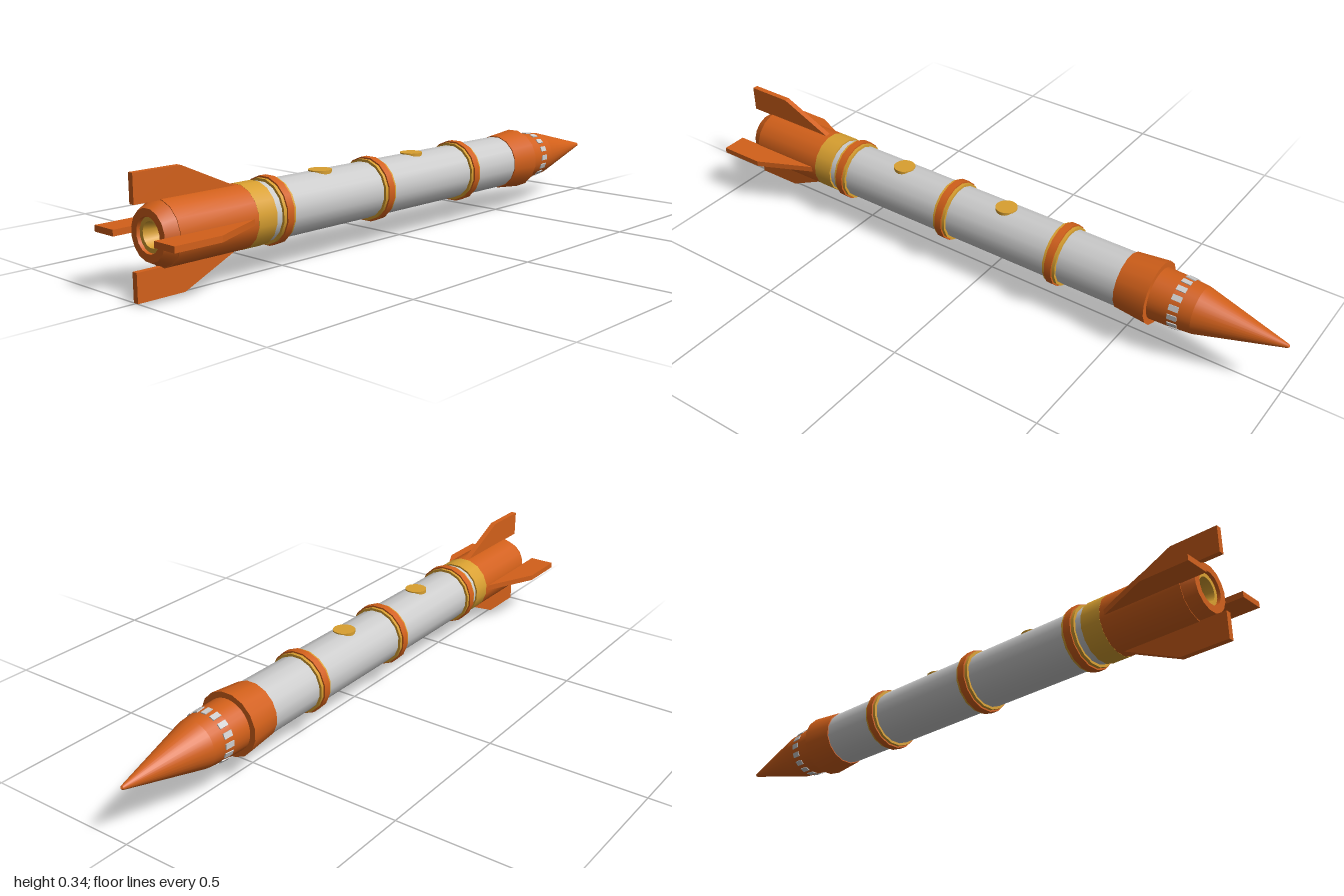
import * as THREE from 'three';
import { mergeGeometries } from 'three/addons/utils/BufferGeometryUtils.js';

const AXIS_Y = 0.17;
const ORANGE = 0xd2601a, GOLD = 0xd9a030, GREY = 0xcccccc;

const material = (color) => new THREE.MeshStandardMaterial({ color, side: THREE.DoubleSide });
const mats = { orange: material(ORANGE), gold: material(GOLD), grey: material(GREY) };

function add(parent, name, geometry, mat) {
  const mesh = new THREE.Mesh(geometry, mat);
  mesh.name = name;
  parent.add(mesh);
  return mesh;
}

// Turned solid along x from [x, radius] pairs; every step keeps a crisp edge
function turned(profile, sides = 16) {
  const steps = [];
  for (let i = 0; i < profile.length - 1; i++) {
    const pair = [profile[i], profile[i + 1]].map(([x, r]) => new THREE.Vector2(r, x));
    steps.push(new THREE.LatheGeometry(pair, sides, Math.PI / sides));
  }
  return mergeGeometries(steps).rotateZ(-Math.PI / 2);
}

export function createModel() {
  const rocket = new THREE.Group();
  rocket.name = 'rocket';
  const hull = new THREE.Group();
  hull.name = 'hull';
  hull.position.y = AXIS_Y;
  rocket.add(hull);

  // Main tube
  add(hull, 'bodyTube', turned([[-0.62, 0], [-0.62, 0.087], [0.5, 0.087], [0.5, 0]]), mats.grey);

  // Tail section and its coloured band
  add(hull, 'tailSection', turned([[-0.92, 0.05], [-0.92, 0.092], [-0.66, 0.092], [-0.66, 0]]), mats.orange);
  add(hull, 'tailBand', turned([[-0.66, 0], [-0.66, 0.0925], [-0.595, 0.0925], [-0.595, 0]]), mats.gold);

  // Nozzle: chamfered outer ring, recessed gold liner
  add(hull, 'nozzle', turned([[-0.9, 0.046], [-0.955, 0.05], [-0.955, 0.072], [-0.92, 0.09]]), mats.orange);
  add(hull, 'nozzleLiner', turned([[-0.9, 0], [-0.9, 0.03], [-0.945, 0.036], [-0.945, 0.049]]), mats.gold);

  // Three joint rings: wide gold base with a narrower orange band
  for (const x of [-0.55, -0.14, 0.27]) {
    const ring = new THREE.Group();
    ring.name = 'jointRing';
    ring.position.x = x;
    hull.add(ring);
    add(ring, 'ringBase', turned([[-0.022, 0.08], [-0.022, 0.095], [0.022, 0.095], [0.022, 0.08]]), mats.gold);
    add(ring, 'ringBand', turned([[-0.012, 0.09], [-0.012, 0.1], [0.012, 0.1], [0.012, 0.09]]), mats.orange);
  }

  // Flared collar and nose
  add(hull, 'collar', turned([[0.49, 0.08], [0.49, 0.09], [0.595, 0.1], [0.595, 0.07]]), mats.orange);
  add(hull, 'noseCone', turned([[0.59, 0.081], [0.66, 0.079], [0.73, 0.073], [0.995, 0.006], [1, 0]], 32), mats.orange);

  // Small windows around the nose
  const windows = new THREE.Group();
  windows.name = 'noseWindows';
  hull.add(windows);
  for (let i = 0; i < 16; i++) {
    const pane = new THREE.BoxGeometry(0.03, 0.008, 0.017);
    pane.rotateZ(-0.06).translate(0.675, 0.0762, 0).rotateX((i / 16) * Math.PI * 2);
    add(windows, 'noseWindow', pane, mats.grey);
  }

  // Portholes on top
  for (const x of [-0.345, 0.055]) {
    const port = add(hull, 'porthole', new THREE.CylinderGeometry(0.035, 0.035, 0.03, 16), mats.gold);
    port.position.set(x, 0.074, 0);
  }

  // Four swept fins
  const outline = [[-1, 0.088], [-0.67, 0.088], [-0.85, 0.17], [-1, 0.17]];
  const finShape = new THREE.Shape(outline.map(([x, y]) => new THREE.Vector2(x, y)));
  for (let i = 0; i < 4; i++) {
    const fin = new THREE.ExtrudeGeometry(finShape, { depth: 0.018, bevelEnabled: false });
    fin.translate(0, 0, -0.009).rotateX((i * Math.PI) / 2);
    add(hull, 'fin', fin, mats.orange);
  }

  return rocket;
}
